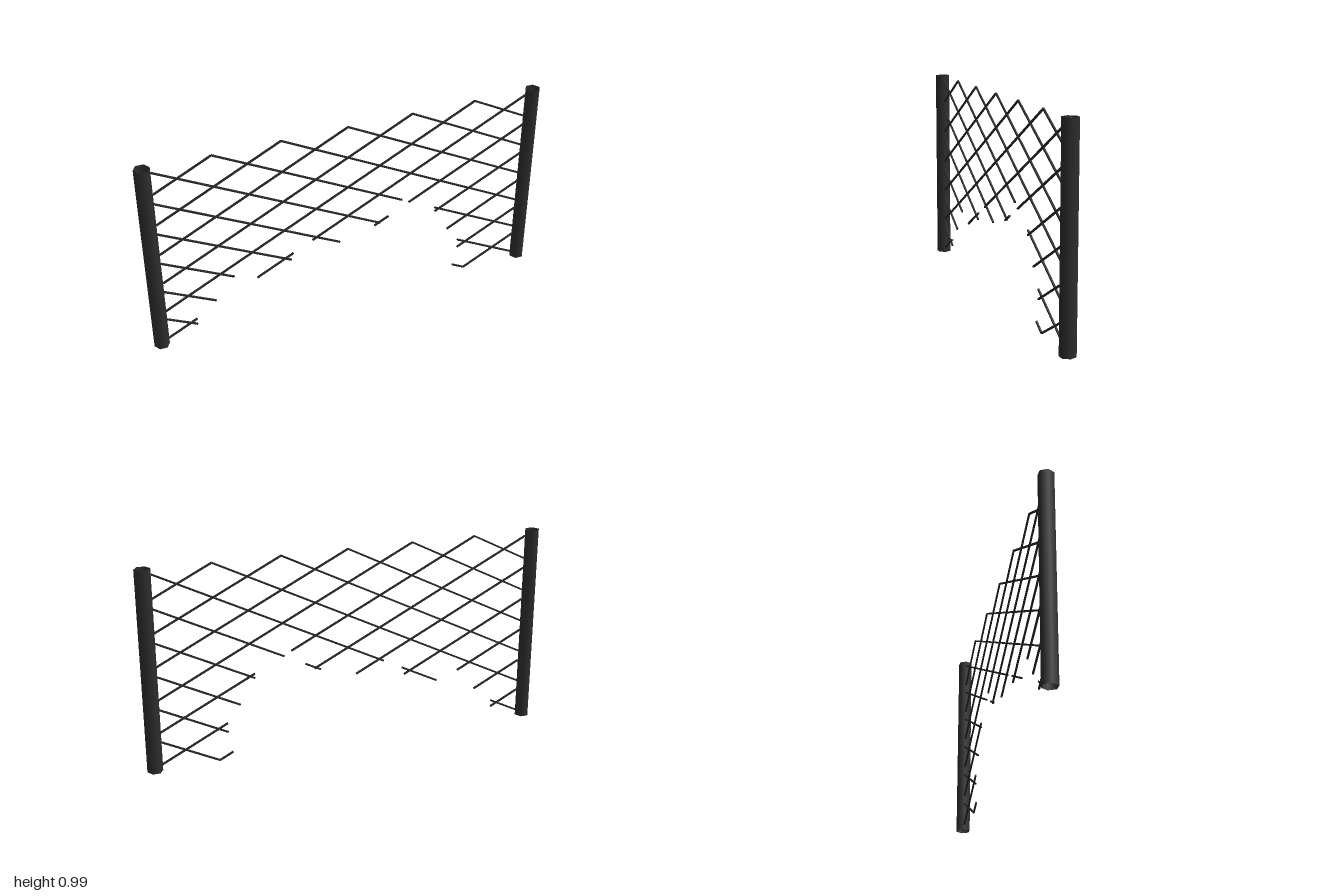
import * as THREE from 'three';

const HEIGHT = 0.993;   // post height and top row of the mesh
const STEP = 0.325;     // horizontal distance between mesh peaks
const SLOPE = 0.505;    // rise of each wire per unit of x
const LEFT = -0.925, RIGHT = 0.97;
const WIRE = 0.008;

export function createModel() {
  const fence = new THREE.Group();
  fence.name = 'tornWireFence';

  // Hollow six-sided posts
  const postMaterial = new THREE.MeshStandardMaterial({ color: 0x2d2e2d, side: THREE.DoubleSide });
  const postGeometry = new THREE.CylinderGeometry(0.0375, 0.0375, HEIGHT, 6, 1, true, Math.PI / 2);
  for (const side of [-1, 1]) {
    const post = new THREE.Mesh(postGeometry, postMaterial);
    post.name = side > 0 ? 'leftPost' : 'rightPost';
    post.position.set(side * 0.9625, HEIGHT / 2, 0);
    fence.add(post);
  }

  // Diagonal wires: each one passes through the top row at x = peak * STEP
  const wireMaterial = new THREE.MeshStandardMaterial({ color: 0x2a2a2a });
  const mesh = new THREE.Group();
  mesh.name = 'wireMesh';
  fence.add(mesh);

  function addWire(name, direction, peak, x0, x1) {
    const yAt = (x) => HEIGHT - WIRE / 2 + direction * SLOPE * (x - peak * STEP);
    const length = Math.hypot(x1 - x0, yAt(x1) - yAt(x0));
    const wire = new THREE.Mesh(new THREE.BoxGeometry(length, WIRE, WIRE), wireMaterial);
    wire.name = name;
    wire.position.set((x0 + x1) / 2, (yAt(x0) + yAt(x1)) / 2, 0);
    wire.rotation.z = Math.atan(direction * SLOPE);
    mesh.add(wire);
  }

  // Surviving spans [start x, end x] of the wires cut by the hole
  const fallingSpans = {
    '-2': [[-2 * STEP, 0.285], [0.465, RIGHT]],
    '-3': [[LEFT, 0.17], [0.604, RIGHT]],
    '-4': [[LEFT, -0.043], [0.583, 0.65]],
    '-5': [[LEFT, -0.294]],
    '-6': [[LEFT, -0.583]],
    '-7': [[LEFT, -0.68]],
    '-8': [[LEFT, -0.78]],
  };
  const risingSpans = {
    3: [[LEFT, -0.78], [-0.47, -0.283], [-0.185, RIGHT]],
    4: [[0.139, 0.214], [0.32, RIGHT]],
    5: [[0.465, RIGHT]],
    6: [[0.54, RIGHT]],
    7: [[0.604, RIGHT]],
    8: [[0.65, RIGHT]],
  };

  // Wires falling towards +x
  for (let i = -8; i <= 2; i++) {
    const spans = fallingSpans[i] ?? [[i * STEP, RIGHT]];
    for (const [a, b] of spans) addWire('fallingWire', -1, i, a, b);
  }

  // Wires rising towards +x
  for (let i = -2; i <= 8; i++) {
    const spans = risingSpans[i] ?? [[LEFT, i * STEP]];
    for (const [a, b] of spans) addWire('risingWire', 1, i, a, b);
  }

  return fence;
}
